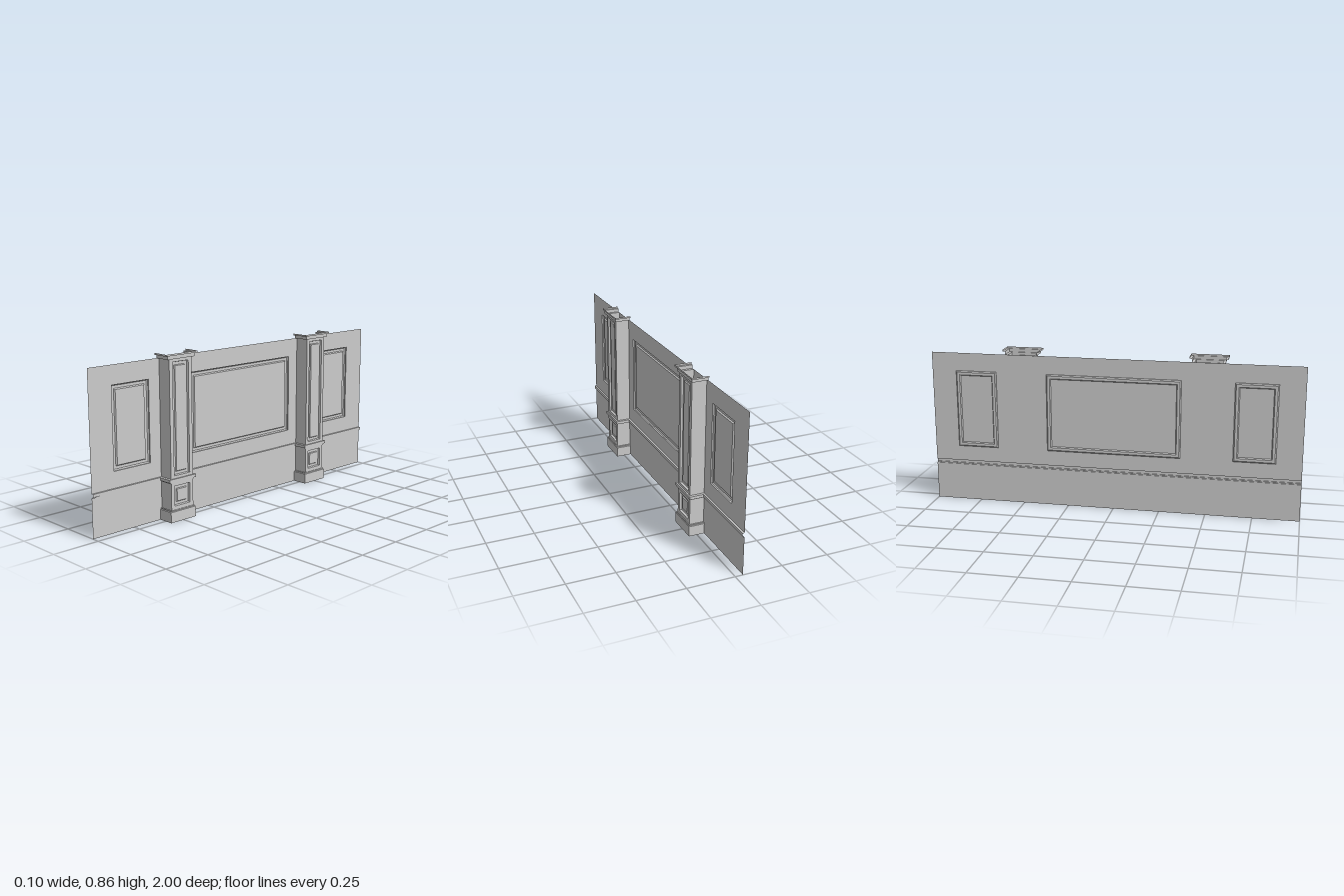
import * as THREE from 'three';

const material = new THREE.MeshStandardMaterial({
  color: 0xcccccc, flatShading: true, side: THREE.DoubleSide,
});
const WALL = -0.04;   // x of the wall sheet
const SHAFT = 0.037;  // x of the pilaster face

// Skin between successive rows of points, each row running left to right.
function loft(name, rows, closed = false) {
  const pos = [];
  const n = rows[0].length;
  for (let r = 0; r < rows.length - 1; r++) {
    for (let i = 0; i < (closed ? n : n - 1); i++) {
      const j = (i + 1) % n;
      const [a, b, c, d] = [rows[r][i], rows[r][j], rows[r + 1][j], rows[r + 1][i]];
      pos.push(...a, ...b, ...c, ...a, ...c, ...d);
    }
  }
  const geometry = new THREE.BufferGeometry();
  geometry.setAttribute('position', new THREE.Float32BufferAttribute(pos, 3));
  geometry.computeVertexNormals();
  const mesh = new THREE.Mesh(geometry, material);
  mesh.name = name;
  return mesh;
}

// Rectangular ring in a plane facing +x.
const ring = (x, z0, z1, y0, y1) => [[x, y0, z1], [x, y0, z0], [x, y1, z0], [x, y1, z1]];

// Flat face with a moulded, recessed panel; steps are [inset, x].
function panelledFace(name, x, outer, panel, steps) {
  const [z0, z1, y0, y1] = panel;
  const rows = [ring(x, ...outer)];
  for (const [d, px] of steps) rows.push(ring(px, z0 + d, z1 - d, y0 + d, y1 - d));
  // close the field down to its centre line
  const last = steps[steps.length - 1][1];
  const zc = (z0 + z1) / 2, yc = (y0 + y1) / 2;
  rows.push(ring(last, zc, zc, yc, yc));
  return loft(name, rows, true);
}

const wallSteps = [[0, WALL], [0, -0.047], [0.006, -0.052], [0.02, -0.052], [0.025, -0.045]];
const shaftSteps = [[0, SHAFT], [0.003, 0.026], [0.017, 0.026], [0.021, 0.031]];

// Three-sided moulding around a pilaster; profile rows are [y, front x, half width, back x].
function moulding(name, profile) {
  return loft(name, profile.map(([y, x, h, back = WALL]) =>
    [[back, y, h], [x, y, h], [x, y, -h], [back, y, -h]]));
}

// Straight pilaster section with plain sides and a panelled front.
function section(name, y0, y1, h, panel) {
  const group = new THREE.Group();
  group.name = name;
  group.add(panelledFace(name + 'Front', SHAFT, [-h, h, y0, y1], panel, shaftSteps));
  group.add(loft(name + 'LeftSide', [y0, y1].map((y) => [[WALL, y, h], [SHAFT, y, h]])));
  group.add(loft(name + 'RightSide', [y0, y1].map((y) => [[SHAFT, y, -h], [WALL, y, -h]])));
  return group;
}

function createPilaster() {
  const group = new THREE.Group();
  group.name = 'pilaster';
  const h = 0.072;
  group.add(
    moulding('base', [
      [0, 0.044, 0.082], [0.055, 0.044, 0.082], [0.057, 0.041, 0.077],
      [0.062, 0.041, 0.077], [0.062, SHAFT, h],
    ]),
    section('pedestal', 0.062, 0.203, h, [-0.05, 0.05, 0.082, 0.186]),
    moulding('pilasterRail', [
      [0.203, SHAFT, h], [0.203, 0.039, 0.078], [0.209, 0.039, 0.078],
      [0.209, 0.044, 0.087, -0.03], [0.225, 0.044, 0.087, -0.03], [0.225, SHAFT, h],
    ]),
    section('shaft', 0.225, 0.83, h, [-0.051, 0.051, 0.24, 0.815]),
    moulding('capital', [
      [0.83, SHAFT, h], [0.83, 0.044, 0.087], [0.848, 0.044, 0.087],
      [0.848, 0.05, 0.1], [0.857, 0.05, 0.1],
    ]),
  );
  return group;
}

export function createModel() {
  const model = new THREE.Group();
  model.name = 'panelledWall';

  // Lower wall and chair rail, one continuous sheet
  const row = ([y, x]) => [[x, y, 1], [x, y, -1]];
  model.add(loft('lowerWall', [[0, WALL], [0.203, WALL]].map(row)));
  model.add(loft('chairRail', [
    [0.203, WALL], [0.203, -0.035], [0.209, -0.035],
    [0.209, -0.03], [0.225, -0.03], [0.225, WALL],
  ].map(row)));

  // Upper wall: a wide bay between two narrow ones
  const bays = [
    ['rightBay', -1, -0.5, -0.752, 0.112],
    ['centreBay', -0.5, 0.5, 0, 0.362],
    ['leftBay', 0.5, 1, 0.752, 0.112],
  ];
  for (const [name, z0, z1, zc, hw] of bays) {
    model.add(panelledFace(name, WALL, [z0, z1, 0.225, 0.83],
      [zc - hw, zc + hw, 0.31, 0.732], wallSteps));
  }

  // Hollow pilasters over the joints between bays
  for (const z of [-0.5, 0.5]) {
    const pilaster = createPilaster();
    pilaster.position.z = z;
    model.add(pilaster);
  }
  return model;
}
